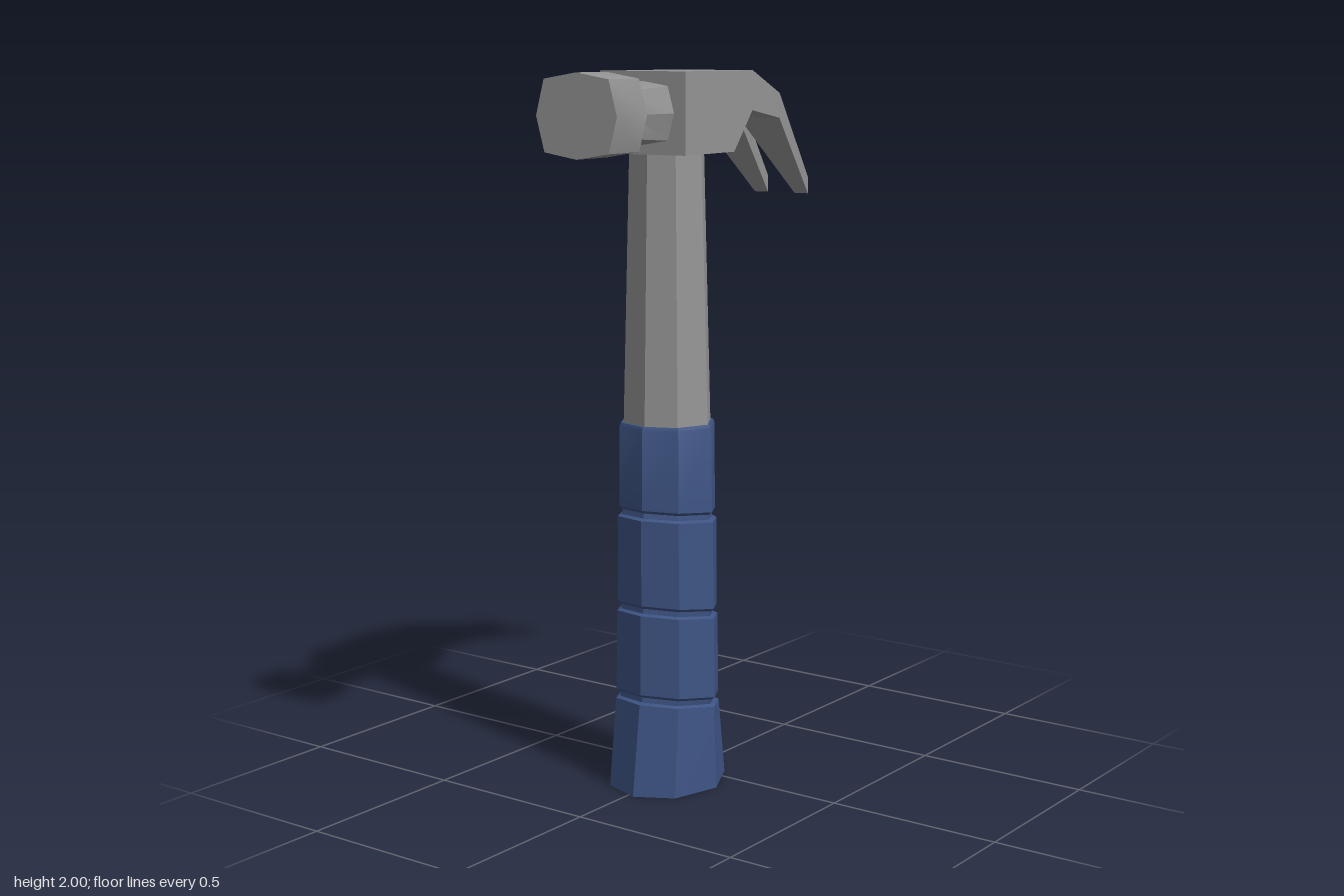
import * as THREE from 'three';
import { mergeGeometries, toCreasedNormals } from 'three/addons/utils/BufferGeometryUtils.js';

const STEEL = 0x959595, BLUE = 0x3e5484;

// Skin convex rings (counter-clockwise about the travel direction) and cap both ends
function loft(rings) {
  const pos = [];
  const tri = (...pts) => pts.forEach((p) => pos.push(...p));
  const n = rings[0].length, last = rings.length - 1;
  for (let i = 0; i < last; i++) {
    for (let j = 0; j < n; j++) {
      const k = (j + 1) % n;
      const a = rings[i][j], b = rings[i][k], c = rings[i + 1][k], d = rings[i + 1][j];
      tri(a, b, c);
      tri(a, c, d);
    }
  }
  for (let j = 1; j < n - 1; j++) {
    tri(rings[0][0], rings[0][j + 1], rings[0][j]);
    tri(rings[last][0], rings[last][j], rings[last][j + 1]);
  }
  const geo = new THREE.BufferGeometry();
  geo.setAttribute('position', new THREE.Float32BufferAttribute(pos, 3));
  return geo;
}

// One named part: soft across shallow bends, sharp elsewhere
function part(name, color, ...geometries) {
  const geo = toCreasedNormals(mergeGeometries(geometries), THREE.MathUtils.degToRad(30));
  const mesh = new THREE.Mesh(geo, new THREE.MeshStandardMaterial({ color }));
  mesh.name = name;
  return mesh;
}

// Eight-sided section; ka and kb set how far the corners reach
const octagon = (a, b, ka, kb) => [
  [a, 0], [a * ka, b * kb], [0, b], [-a * ka, b * kb],
  [-a, 0], [-a * ka, -b * kb], [0, -b], [a * ka, -b * kb],
];

// Upright ring, optionally tilted along x
const uprightRing = ([y, halfX, halfZ, tilt = 0]) =>
  octagon(halfZ, halfX, 0.67, 0.74).map(([z, x]) => [x, y + tilt * x, z]);

// Ring across the striking axis
const HEAD_Y = 1.89;
const headRing = ([x, halfY, halfZ]) =>
  octagon(halfY, halfZ, 0.85, 0.8).map(([y, z]) => [x, HEAD_Y + y, z]);

// Rectangular ring across the striking axis, with a point midway along top and bottom
const boxRing = ([x, y0, y1, z0, z1]) => {
  const mid = (z0 + z1) / 2;
  return [[x, y0, mid], [x, y0, z0], [x, y1, z0], [x, y1, mid], [x, y1, z1], [x, y0, z1]];
};

export function createModel() {
  const hammer = new THREE.Group();
  hammer.name = 'hammer';

  // Handle: tapered steel shaft
  hammer.add(part('shaft', STEEL, loft([[1.0, 0.119, 0.132], [1.8, 0.1, 0.11]].map(uprightRing))));

  // Grip: flared butt, then sections parted by slanted grooves
  const grip = [[0, 0.185, 0.161]];
  const grooves = [
    // height, tilt, half sizes below and above
    [0.25, -0.13, 0.149, 0.154, 0.144, 0.155],
    [0.505, -0.13, 0.142, 0.152, 0.137, 0.151],
    [0.78, -0.09, 0.139, 0.148, 0.132, 0.145],
  ];
  for (const [y, tilt, x0, z0, x1, z1] of grooves) {
    grip.push(
      [y - 0.013, x0, z0, tilt],
      [y - 0.007, x0 - 0.013, z0 - 0.013, tilt],
      [y + 0.007, x1 - 0.01, z1 - 0.01, tilt],
      [y + 0.015, x1, z1, tilt],
    );
  }
  grip.push([1.03, 0.131, 0.142], [1.04, 0.127, 0.138]);
  hammer.add(part('grip', BLUE, loft(grip.map(uprightRing))));

  // Head block bending down into a pair of claws with a V gap between them
  const W = 0.134;
  const block = loft([
    [-0.123, 1.78, 2, -W, W],
    [0.135, 1.78, 2, -W, W],
    [0.235, 1.89, 2, -W, W],
    [0.39, 1.865, 1.935, -W, W],
  ].map(boxRing));
  const claws = [1, -1].map((side) => loft([
    [0.39, 1.865, 1.935, 0, W],
    [0.648, 1.635, 1.683, 0.045, 0.09],
  ].map(([x, y0, y1, inner, outer]) => boxRing(
    side > 0 ? [x, y0, y1, inner, outer] : [x, y0, y1, -outer, -inner]))));
  hammer.add(part('clawHead', STEEL, block, ...claws));

  // Neck and striking face
  hammer.add(part('neck', STEEL, loft([[-0.31, 0.071, 0.08], [-0.115, 0.085, 0.1]].map(headRing))));
  hammer.add(part('strikingFace', STEEL, loft([[-0.437, 0.11, 0.124], [-0.295, 0.11, 0.124]].map(headRing))));

  // Slight turn about the handle axis
  hammer.position.set(-0.105, 0, 0.003);
  hammer.rotation.y = THREE.MathUtils.degToRad(5);

  const model = new THREE.Group();
  model.name = 'clawHammer';
  model.add(hammer);
  return model;
}
